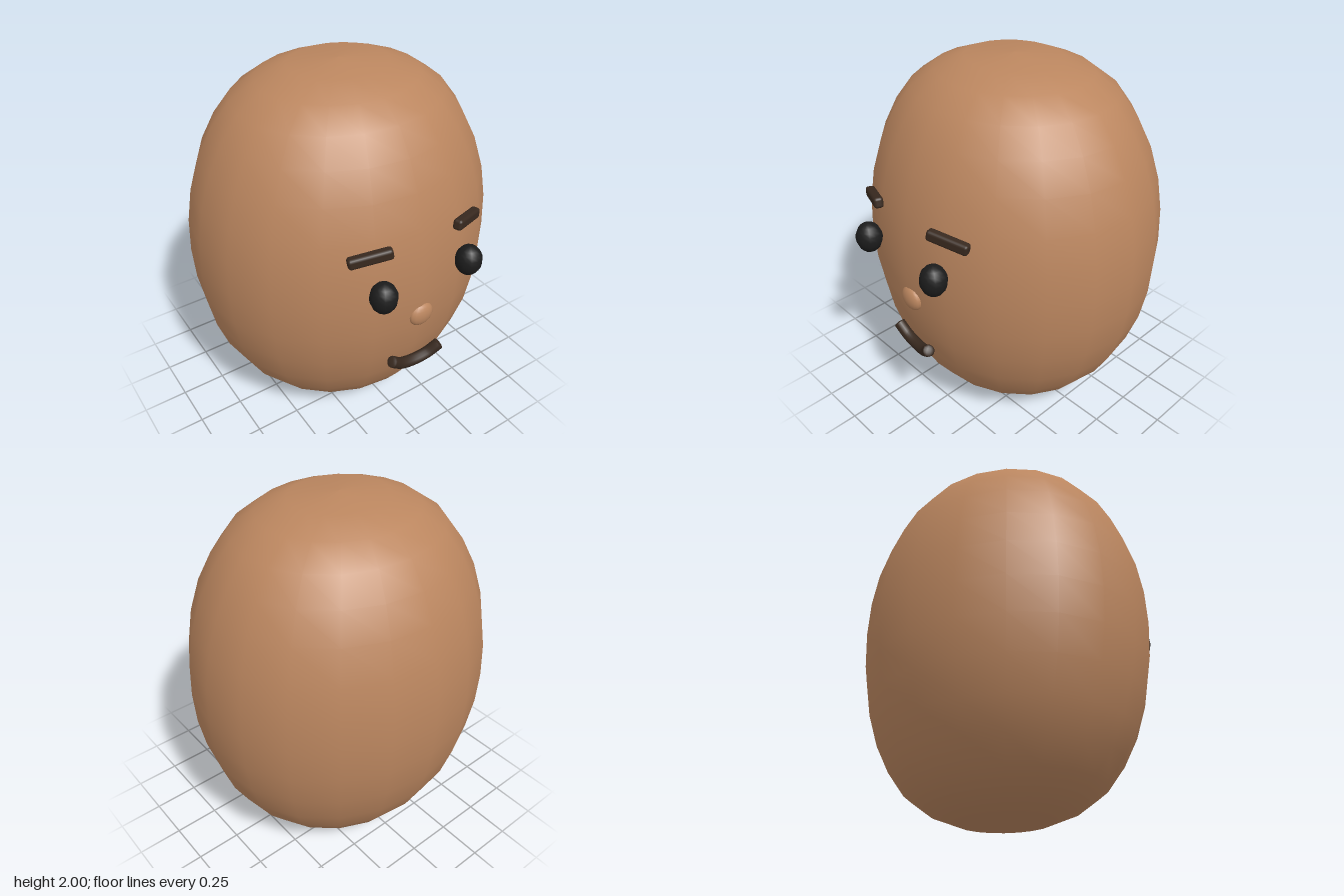
import * as THREE from 'three';
import { RoundedBoxGeometry } from 'three/addons/geometries/RoundedBoxGeometry.js';

const material = (name, color) => {
  const m = new THREE.MeshStandardMaterial({ color });
  m.name = name;
  return m;
};

export function createModel() {
  const model = new THREE.Group();
  model.name = 'head';
  const skin = material('skin', 0xbb865f);
  const brown = material('dark brown', 0x38291f);
  const black = material('eye black', 0x1c1c1c);

  const add = (name, geometry, mat, x = 0, y = 0, z = 0) => {
    const mesh = new THREE.Mesh(geometry, mat);
    mesh.name = name;
    mesh.position.set(x, y, z);
    model.add(mesh);
    return mesh;
  };

  // Skull: a squarish egg, the same profile mirrored above and below the middle
  const half = [[0, 1], [0.27, 0.983], [0.437, 0.923], [0.57, 0.833], [0.67, 0.705],
    [0.75, 0.555], [0.81, 0.375], [0.843, 0.19]];
  const profile = [
    ...half.map(([r, y]) => new THREE.Vector2(r, 1 - y)),
    new THREE.Vector2(0.853, 1),
    ...half.map(([r, y]) => new THREE.Vector2(r, 1 + y)).reverse(),
  ];
  const skull = add('skull', new THREE.LatheGeometry(profile, 20), skin, 0, 0, -0.047);
  skull.scale.z = 0.765 / 0.853;

  // Eyes and slanted eyebrows
  for (const [side, s] of [['right', -1], ['left', 1]]) {
    const eye = add(side + 'Eye', new THREE.SphereGeometry(1, 12, 10), black, s * 0.266, 1.13, 0.745);
    eye.scale.set(0.071, 0.085, 0.07);
    const brow = add(side + 'Eyebrow', new RoundedBoxGeometry(0.222, 0.058, 0.05, 2, 0.016), brown,
      s * 0.295, 1.327, 0.668);
    brow.rotation.set(0, s * 0.38, -s * 0.17);
  }

  // Nose
  const nose = add('nose', new THREE.SphereGeometry(1, 16, 12), skin, 0.013, 0.86, 0.702);
  nose.scale.set(0.073, 0.068, 0.037);

  // Smiling mouth, a bent tube with closed ends
  const radius = 0.032;
  const smile = new THREE.CatmullRomCurve3([
    [-0.147, 0.587, 0.69], [-0.085, 0.537, 0.683], [0, 0.519, 0.685],
    [0.085, 0.537, 0.697], [0.143, 0.587, 0.718],
  ].map((p) => new THREE.Vector3(...p)));
  add('mouth', new THREE.TubeGeometry(smile, 20, radius, 10), brown);
  for (const [t, sign] of [[0, -1], [1, 1]]) {
    const end = smile.getPointAt(t);
    const cap = add('mouthEnd', new THREE.SphereGeometry(radius, 10, 8), brown, end.x, end.y, end.z);
    cap.scale.z = 0.3;
    cap.quaternion.setFromUnitVectors(new THREE.Vector3(0, 0, 1),
      smile.getTangentAt(t).multiplyScalar(sign));
  }
  return model;
}
